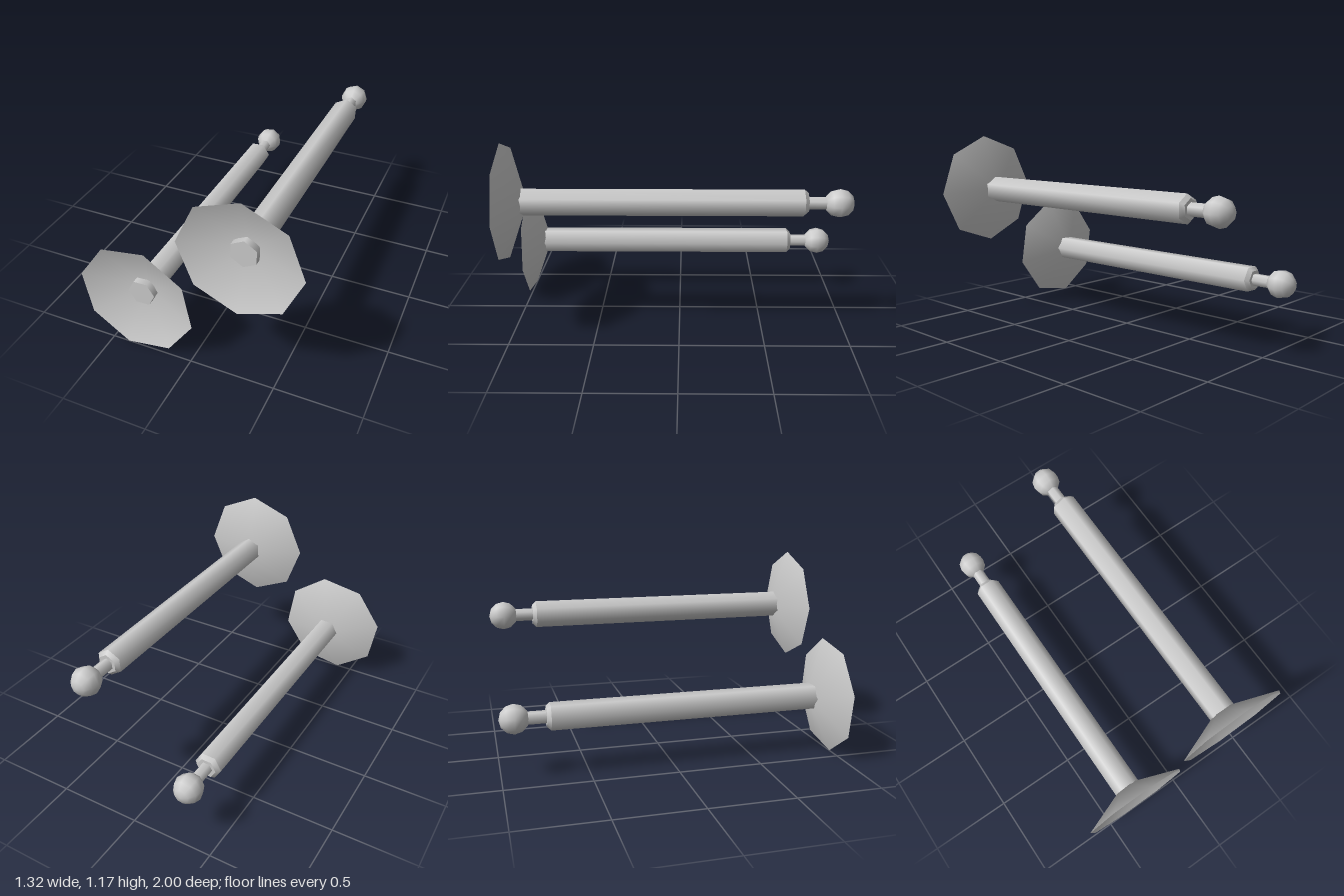
import * as THREE from 'three';
import { mergeVertices } from 'three/addons/utils/BufferGeometryUtils.js';

const metal = new THREE.MeshStandardMaterial({ color: 0xcccccc, side: THREE.DoubleSide });
metal.name = 'plain grey';

function add(group, name, geometry) {
  const mesh = new THREE.Mesh(geometry, metal);
  mesh.name = name;
  group.add(mesh);
}

// Round bar along z, from zBack to zFront
function bar(rFront, rBack, zFront, zBack, open = false) {
  return new THREE.CylinderGeometry(rFront, rBack, zFront - zBack, 6, 1, open)
    .rotateX(Math.PI / 2)
    .translate(0, 0, (zFront + zBack) / 2);
}

// Shallow open cone, with one shared smooth apex
function flare() {
  const height = 0.13;
  let g = new THREE.ConeGeometry(0.35, height, 8, 1, true)
    .rotateX(-Math.PI / 2)
    .translate(0, 0, 1 - height / 2);
  g.deleteAttribute('normal');
  g.deleteAttribute('uv');
  g = mergeVertices(g, 1e-4);
  g.computeVertexNormals();
  return g;
}

function createRod(name, x, y, turn) {
  const rod = new THREE.Group();
  rod.name = name;
  add(rod, 'flaredDisc', flare());
  add(rod, 'shaft', bar(0.082, 0.082, 0.94, -0.712));
  add(rod, 'bevelledEnd', bar(0.082, 0.06, -0.712, -0.735));
  add(rod, 'neck', bar(0.038, 0.038, -0.73, -0.86, true));
  // Faceted ball with its poles on the rod's axis
  add(rod, 'ball', new THREE.SphereGeometry(0.086, 8, 6)
    .rotateX(-Math.PI / 2)
    .translate(0, 0, -0.914));
  rod.position.set(x, y, 0);
  rod.rotation.z = THREE.MathUtils.degToRad(turn);
  return rod;
}

export function createModel() {
  const model = new THREE.Group();
  model.name = 'pairOfRods';
  model.add(createRod('upperRod', 0.308, 0.818, -2.8));
  model.add(createRod('lowerRod', -0.321, 0.342, 31.8));
  return model;
}
